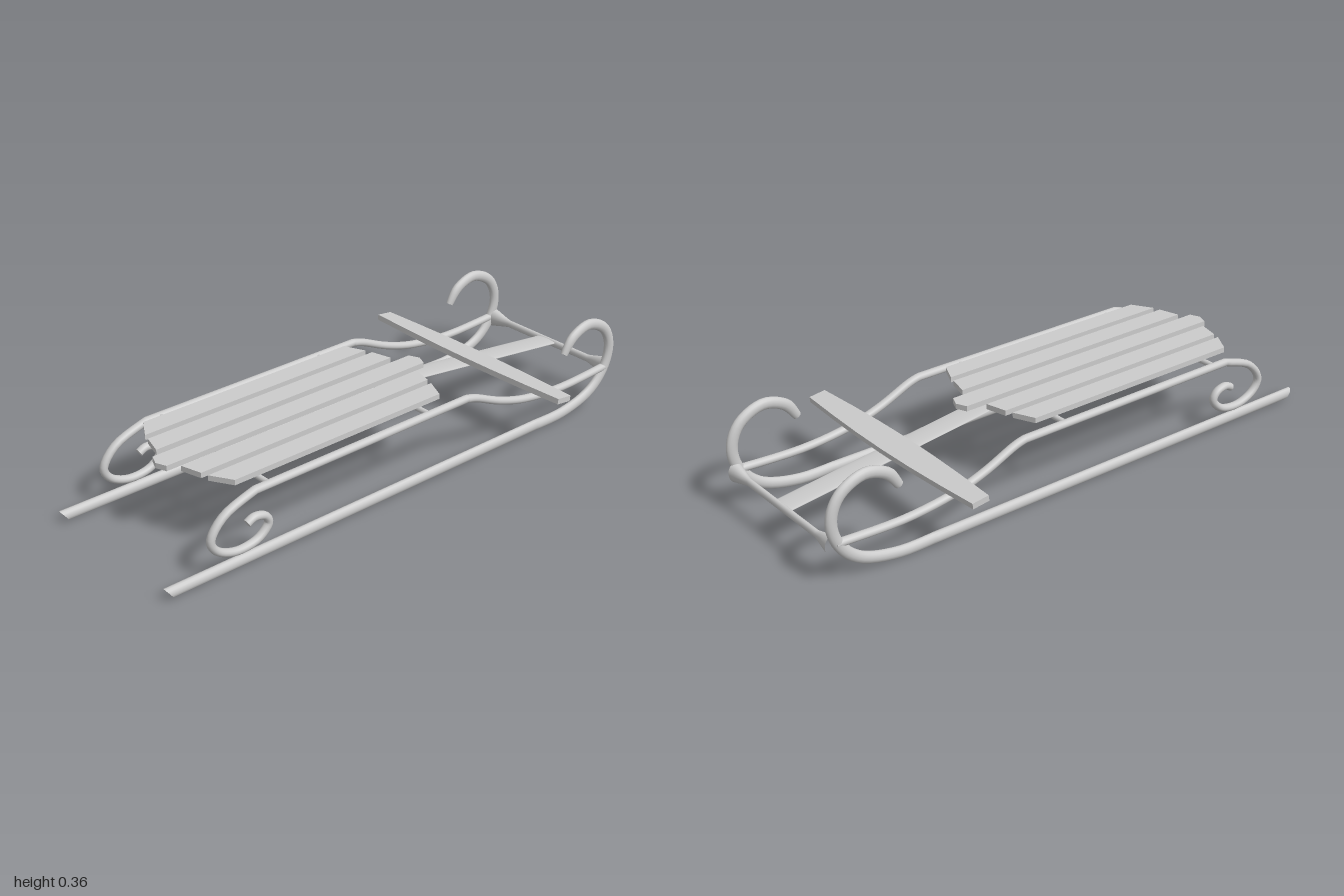
import * as THREE from 'three';

const material = new THREE.MeshStandardMaterial({ color: 0xcccccc });

function add(parent, name, geometry, x = 0, y = 0, z = 0) {
  const mesh = new THREE.Mesh(geometry, material);
  mesh.name = name;
  mesh.position.set(x, y, z);
  parent.add(mesh);
  return mesh;
}

// Sweeps an oval section along a path in the z-y plane; endCut slants the first end
function sweep(path, rx, ry, taper = 1, endCut = 0, sides = 14) {
  const pos = [], index = [];
  const n = path.length;
  const rings = path.map((p, i) => {
    const a = path[Math.max(i - 1, 0)], b = path[Math.min(i + 1, n - 1)];
    const t = new THREE.Vector2().subVectors(b, a).normalize();
    const k = i > n - 5 ? 1 - (1 - taper) * (i - n + 5) / 4 : 1;
    return Array.from({ length: sides }, (_, j) => {
      const ang = j / sides * Math.PI * 2, c = Math.cos(ang) * ry * k;
      const y = p.y + t.x * -c;
      const cut = i === 0 ? endCut * (1 - (y - p.y + ry) / (2 * ry)) : 0;
      return [Math.sin(ang) * rx * k, y, p.x + t.y * c - cut];
    });
  });
  const strip = (list) => {
    const base = pos.length / 3;
    list.forEach((r) => r.forEach((v) => pos.push(...v)));
    for (let i = 0; i < list.length - 1; i++) {
      for (let j = 0; j < sides; j++) {
        const a = base + i * sides + j, b = base + i * sides + (j + 1) % sides;
        index.push(a, b, a + sides, b, b + sides, a + sides);
      }
    }
  };
  const centre = (r) => {
    const m = [0, 1, 2].map((k) => r.reduce((s, v) => s + v[k], 0) / sides);
    return r.map(() => m);
  };
  strip(rings);
  strip([centre(rings[0]), rings[0]]);
  strip([rings[n - 1], centre(rings[n - 1])]);
  const g = new THREE.BufferGeometry();
  g.setAttribute('position', new THREE.Float32BufferAttribute(pos, 3));
  g.setIndex(index);
  g.computeVertexNormals();
  return g;
}

const vectors = (pts) => pts.map(([z, y]) => new THREE.Vector2(z, y));
const smooth = (pts, count) => new THREE.SplineCurve(vectors(pts)).getPoints(count);

// Flat board from an outline in x, z
function board(outline, thickness) {
  const g = new THREE.ExtrudeGeometry(new THREE.Shape(vectors(outline)), { depth: thickness, bevelEnabled: false });
  return g.rotateX(Math.PI / 2).translate(0, thickness / 2, 0);
}

export function createModel() {
  const sled = new THREE.Group();
  sled.name = 'sled';

  // Runners: straight bar, then a curl
  const runnerPath = [
    ...vectors([[1, 0.02]]),
    ...smooth([[-0.6, 0.02], [-0.743, 0.021], [-0.877, 0.055], [-0.955, 0.125], [-0.98, 0.215],
      [-0.945, 0.295], [-0.86, 0.335], [-0.778, 0.31], [-0.735, 0.255]], 40),
  ];
  const runner = sweep(runnerPath, 0.015, 0.02, 0.75, 0.03);

  // Upper rails: scroll, straight part under the seat, then a dip to the runner
  const railPath = [
    ...smooth([[0.685, 0.14], [0.655, 0.152], [0.615, 0.14], [0.603, 0.107], [0.65, 0.067], [0.73, 0.059],
      [0.8, 0.088], [0.822, 0.14], [0.765, 0.205], [0.65, 0.246]], 40),
    ...smooth([[-0.25, 0.246], [-0.3, 0.232], [-0.42, 0.181], [-0.555, 0.145], [-0.74, 0.128], [-0.97, 0.137]], 24),
  ];
  const rail = sweep(railPath, 0.015, 0.014);

  for (const [side, s] of [['left', 1], ['right', -1]]) {
    add(sled, side + 'Runner', runner, s * 0.29);
    add(sled, side + 'Rail', rail, s * 0.29);
  }

  // Seat crossbars
  for (const z of [-0.08, 0.595]) {
    add(sled, 'crossbar', new THREE.CylinderGeometry(0.01, 0.01, 0.58, 12).rotateZ(Math.PI / 2), 0, 0.247, z);
  }

  // End bar joining the curls, with flared ends
  const half = [[0.014, 0.2], [0.02, 0.225], [0.03, 0.262], [0.036, 0.285]];
  const profile = vectors([...half.map(([r, y]) => [r, -y]).reverse(), ...half]);
  const endBar = new THREE.LatheGeometry(profile, 16).rotateZ(Math.PI / 2).scale(1, 1, 0.75);
  add(sled, 'endBar', endBar, 0, 0.131, -0.976);

  // Seat slats, ends shaped to an overall arc
  const w = 0.038;
  add(sled, 'centreSlat', board([[-w, -0.29], [0, -0.307], [w, -0.29], [w, 0.797], [0, 0.812], [-w, 0.797]], 0.019), 0, 0.266);
  const slatEnds = [[0.104, -0.23, -0.211, 0.742, 0.763], [0.206, -0.202, -0.168, 0.69, 0.735]];
  for (const s of [1, -1]) {
    for (const [x, backIn, backOut, frontOut, frontIn] of slatEnds) {
      const outline = [[-s * w, backIn], [s * w, backOut], [s * w, frontOut], [-s * w, frontIn]];
      add(sled, 'slat', board(outline, 0.019), s * x, 0.266);
    }
  }

  // Sloping spine from the end bar to the rear crossbar
  const slope = Math.atan2(0.109, 0.89);
  const spine = new THREE.CylinderGeometry(0.045, 0.045, 0.897, 20).rotateX(Math.PI / 2).scale(1, 0.12, 1);
  add(sled, 'spine', spine, 0, 0.1915, -0.525).rotation.x = -slope;

  // Steering bar resting on the spine, tapering outward
  const edge = [[-0.458, 0.031], [-0.3, 0.04], [-0.15, 0.046], [0, 0.048], [0.15, 0.046], [0.3, 0.04], [0.458, 0.031]];
  const barOutline = [...edge, ...edge.map(([x, z]) => [-x, -z])];
  add(sled, 'steeringBar', board(barOutline, 0.02), 0, 0.203, -0.555).rotation.x = -slope;

  return sled;
}
